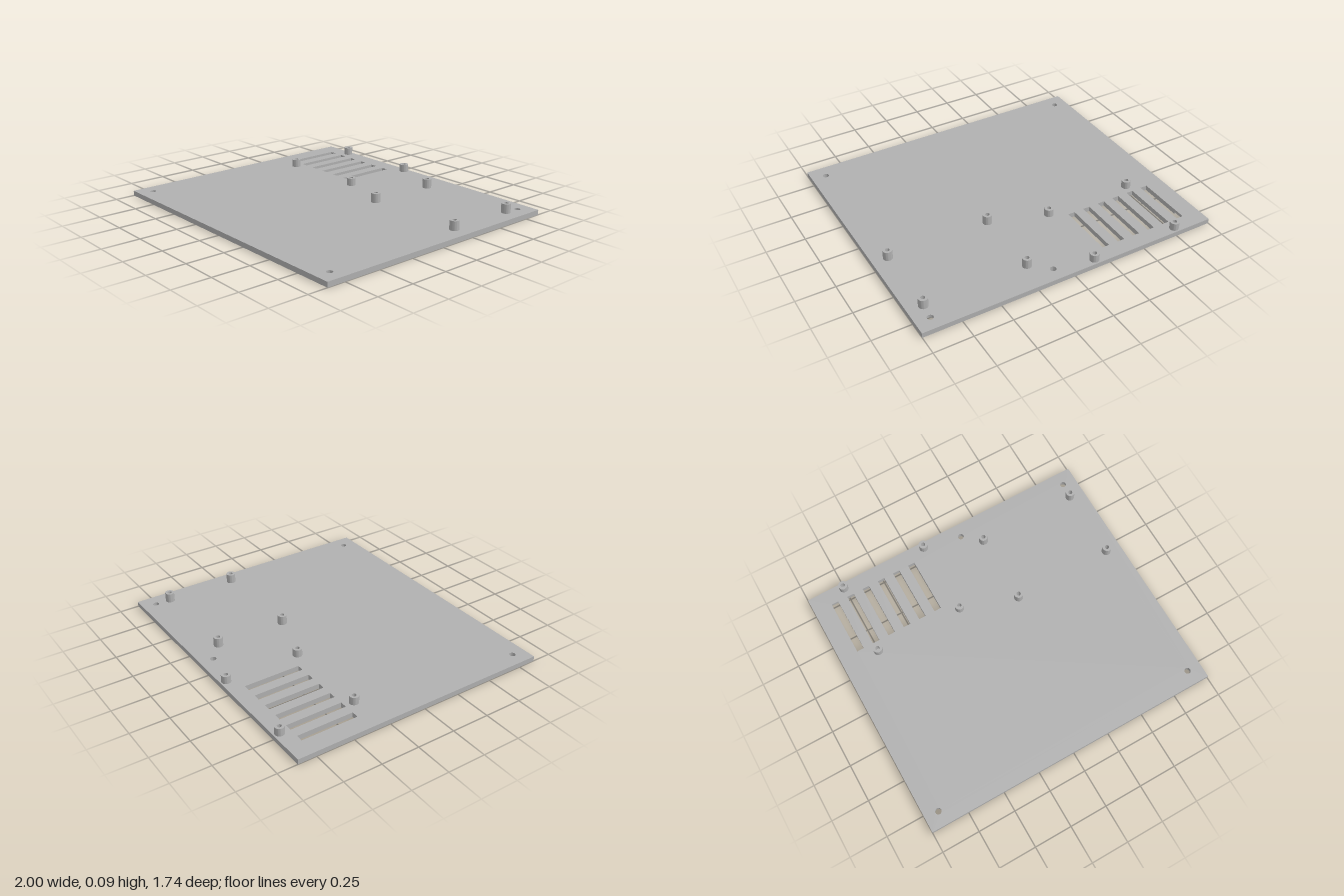
import * as THREE from 'three';
import { toCreasedNormals } from 'three/addons/utils/BufferGeometryUtils.js';

const PLATE_TOP = 0.033, RECESS = 0.013;
const HALF_X = 1, HALF_Z = 0.87;
const SLOT = { w: 0.047, z0: -0.765, z1: -0.39 };
const slotXs = [0, 1, 2, 3, 4, 5].map(i => -0.853 + i * 0.1132);
const screwHoles = [[0.1, -0.78], [0.905, -0.78], [-0.908, 0.775], [0.905, 0.775]];
const SCREW_R = 0.02, FOOT_R = 0.057;

// Shapes are drawn in (x, z) and extruded downward from the given top
function slab(shape, top, depth) {
  const g = new THREE.ExtrudeGeometry(shape, { depth, bevelEnabled: false, curveSegments: 24 });
  g.rotateX(Math.PI / 2).translate(0, top, 0);
  return toCreasedNormals(g, 0.6);
}

function rect(target, x0, z0, x1, z1) {
  target.moveTo(x0, z0).lineTo(x1, z0).lineTo(x1, z1).lineTo(x0, z1).closePath();
  return target;
}

const circle = (x, z, r) => new THREE.Path().absarc(x, z, r, 0, Math.PI * 2, false);
const slot = x => rect(new THREE.Path(), x - SLOT.w / 2, SLOT.z0, x + SLOT.w / 2, SLOT.z1);
const outline = () => rect(new THREE.Shape(), -HALF_X, -HALF_Z, HALF_X, HALF_Z);

// Foot recess that runs into the first vent slot
function recessWithSlot(cx, cz, slotX) {
  const left = slotX - SLOT.w / 2, right = slotX + SLOT.w / 2;
  const dz = SLOT.z0 - cz, dx = left - cx;
  const start = Math.atan2(dz, Math.sqrt(FOOT_R ** 2 - dz ** 2));
  const end = Math.atan2(Math.sqrt(FOOT_R ** 2 - dx ** 2), dx) - Math.PI * 2;
  const p = new THREE.Path();
  p.absarc(cx, cz, FOOT_R, start, end, true);
  p.lineTo(left, SLOT.z1).lineTo(right, SLOT.z1).lineTo(right, SLOT.z0).closePath();
  return p;
}

// Hollow mounting post
function standoff(top, r, bore) {
  const profile = [[r, PLATE_TOP], [r, top], [bore, top], [bore, PLATE_TOP]]
    .map(([x, y]) => new THREE.Vector2(x, y));
  return toCreasedNormals(new THREE.LatheGeometry(profile, 28), 0.6);
}

export function createModel() {
  const group = new THREE.Group();
  group.name = 'mountingPlate';
  const grey = new THREE.MeshStandardMaterial({ color: 0xb0b0b0 });
  grey.name = 'grey';
  const add = (name, geometry) => {
    const mesh = new THREE.Mesh(geometry, grey);
    mesh.name = name;
    group.add(mesh);
    return mesh;
  };

  // Upper layer: vents and screw holes
  const upper = outline();
  upper.holes.push(...slotXs.map(slot), ...screwHoles.map(([x, z]) => circle(x, z, SCREW_R)));
  add('plateUpper', slab(upper, PLATE_TOP, PLATE_TOP - RECESS));

  // Lower layer: the same openings plus round foot recesses;
  // the back left recess swallows its screw hole
  const lower = outline();
  lower.holes.push(
    ...slotXs.slice(1).map(slot),
    ...screwHoles.filter((_, i) => i !== 1).map(([x, z]) => circle(x, z, SCREW_R)),
    circle(0.883, -0.75, FOOT_R), circle(0.883, 0.645, FOOT_R), circle(-0.883, 0.645, FOOT_R),
    recessWithSlot(-0.885, -0.745, slotXs[0]));
  add('plateLower', slab(lower, RECESS, RECESS));

  // Two sets of four standoffs
  const sets = [
    { name: 'shortStandoff', top: 0.084, xs: [-0.755, -0.157], zs: [-0.831, -0.327] },
    { name: 'tallStandoff', top: 0.095, xs: [0.218, 0.897], zs: [-0.677, -0.203] },
  ];
  for (const { name, top, xs, zs } of sets) {
    const geometry = standoff(top, 0.03, 0.014);
    for (const x of xs) for (const z of zs) add(name, geometry).position.set(x, 0, z);
  }
  return group;
}
